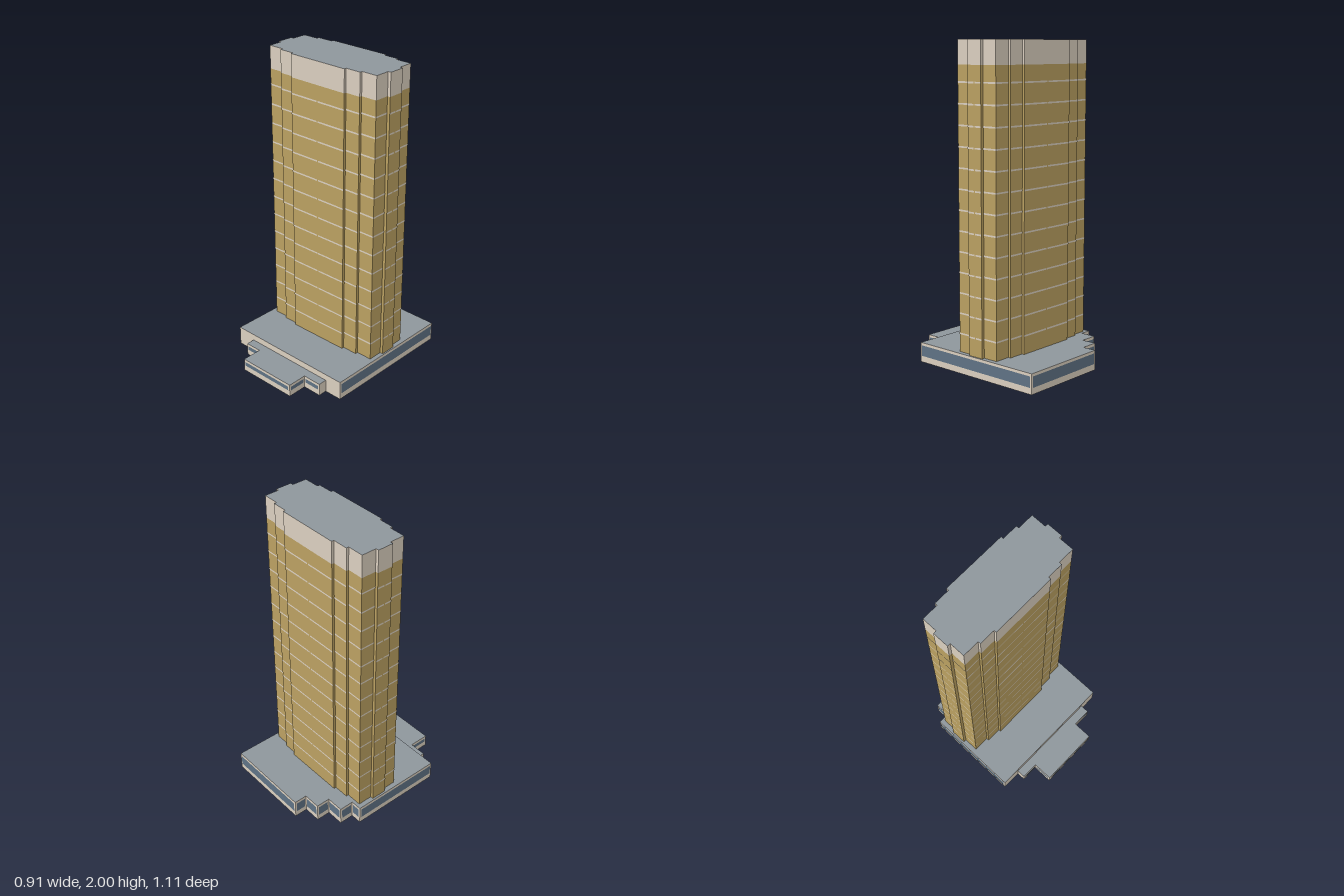
import * as THREE from 'three';
import { mergeGeometries } from 'three/addons/utils/BufferGeometryUtils.js';

const material = (color) => new THREE.MeshStandardMaterial({ color, side: THREE.DoubleSide, flatShading: true });
const stone = material(0xdbd0c0);
const gold = material(0xbba162);
const glass = material(0x5f7385);
const roofGrey = material(0x8e969c);

// Upright panel from p to q (x, z pairs); its front lies to the right of the walk seen from above
function panel([x0, z0], [x1, z1], y0, y1, out = 0, from = 0, to = 1) {
  const dx = x1 - x0, dz = z1 - z0, len = Math.hypot(dx, dz), mid = (from + to) / 2;
  return new THREE.PlaneGeometry(len * (to - from), y1 - y0)
    .rotateY(Math.atan2(-dz, dx))
    .translate(x0 + dx * mid - (dz / len) * out, (y0 + y1) / 2, z0 + dz * mid + (dx / len) * out);
}

// Pairs of neighbouring outline corners, closing the loop
const edges = (outline) => outline.map((p, i) => [p, outline[(i + 1) % outline.length]]);
const edgeLength = ([p, q]) => Math.hypot(q[0] - p[0], q[1] - p[1]);

function addMesh(group, name, geometries, mat) {
  const mesh = new THREE.Mesh(mergeGeometries(geometries), mat);
  mesh.name = name;
  group.add(mesh);
}

function addWalls(group, name, outline, y0, y1, mat) {
  addMesh(group, name, edges(outline).map(([p, q]) => panel(p, q, y0, y1)), mat);
}

function addRoof(group, name, outline, y) {
  const shape = new THREE.Shape(outline.map(([x, z]) => new THREE.Vector2(x, -z)));
  addMesh(group, name, [new THREE.ShapeGeometry(shape).rotateX(-Math.PI / 2).translate(0, y, 0)], roofGrey);
}

// Window ribbon on each given edge, held in from the corners
function addWindows(group, name, walls, y0, y1, margin) {
  addMesh(group, name, walls.map((e) => {
    const m = margin / edgeLength(e);
    return panel(e[0], e[1], y0, y1, 0.002, m, 1 - m);
  }), glass);
}

function createTower() {
  const tower = new THREE.Group();
  tower.name = 'tower';
  // Stepped plan: one quarter, mirrored to all four
  const centreZ = -0.103;
  const quarter = [[0.21, 0.183], [0.21, 0.167], [0.313, 0.167], [0.313, 0.15], [0.42, 0.15], [0.42, 0.052], [0.44, 0.052]];
  const frontHalf = quarter.map(([x, z]) => [x, z]);
  const backHalf = quarter.map(([x, z]) => [x, -z]).reverse();
  const rightSide = [...frontHalf, ...backHalf];
  const outline = [...rightSide, ...rightSide.map(([x, z]) => [-x, z]).reverse()]
    .map(([x, z]) => [x, z + centreZ]);

  addWalls(tower, 'towerWalls', outline, 0, 1.855, gold);
  addWalls(tower, 'towerCrown', outline, 1.855, 2, stone);
  addRoof(tower, 'towerRoof', outline, 2);

  // Thin floor lines on the broad bays, split in the middle of the central bays
  const lines = [];
  for (let i = 0; i < 13; i++) {
    const y = 0.24 + i * 0.1262;
    for (const e of edges(outline)) {
      const len = edgeLength(e);
      if (len < 0.05) continue;
      const central = len > 0.2 || Math.abs(e[0][0]) > 0.43;
      const gap = 0.004 / len;
      const spans = central ? [[0, 0.5 - gap], [0.5 + gap, 1]] : [[0, 1]];
      for (const [a, b] of spans) lines.push(panel(e[0], e[1], y - 0.005, y + 0.005, 0.0015, a, b));
    }
  }
  addMesh(tower, 'floorLines', lines, stone);
  return tower;
}

function createPodium() {
  const podium = new THREE.Group();
  podium.name = 'podium';
  const outline = [
    [-0.455, 0.356], [0.448, 0.362], [0.452, -0.552], [-0.143, -0.555], [-0.143, -0.467],
    [-0.26, -0.467], [-0.26, -0.373], [-0.378, -0.373], [-0.378, -0.276], [-0.452, -0.276],
  ];
  addWalls(podium, 'podiumWalls', outline, 0, 0.125, stone);
  addRoof(podium, 'podiumRoof', outline, 0.125);
  // Every wall but the front one is glazed
  addWindows(podium, 'podiumWindows', edges(outline).slice(1), 0.04, 0.108, 0.011);
  return podium;
}

function createEntrance() {
  const entrance = new THREE.Group();
  entrance.name = 'entrance';
  const outline = [
    [-0.325, 0.357], [-0.325, 0.414], [-0.21, 0.415], [-0.21, 0.549], [0.2, 0.55],
    [0.2, 0.418], [0.328, 0.42], [0.328, 0.361],
  ];
  const walls = edges(outline).slice(0, 7);
  addMesh(entrance, 'entranceWalls', walls.map(([p, q]) => panel(p, q, 0, 0.083)), stone);
  addRoof(entrance, 'entranceRoof', outline, 0.083);
  addWindows(entrance, 'entranceWindows', walls.filter((e) => edgeLength(e) > 0.1), 0.04, 0.067, 0.011);
  return entrance;
}

export function createModel() {
  const model = new THREE.Group();
  model.name = 'towerBlock';
  model.add(createTower(), createPodium(), createEntrance());
  return model;
}
